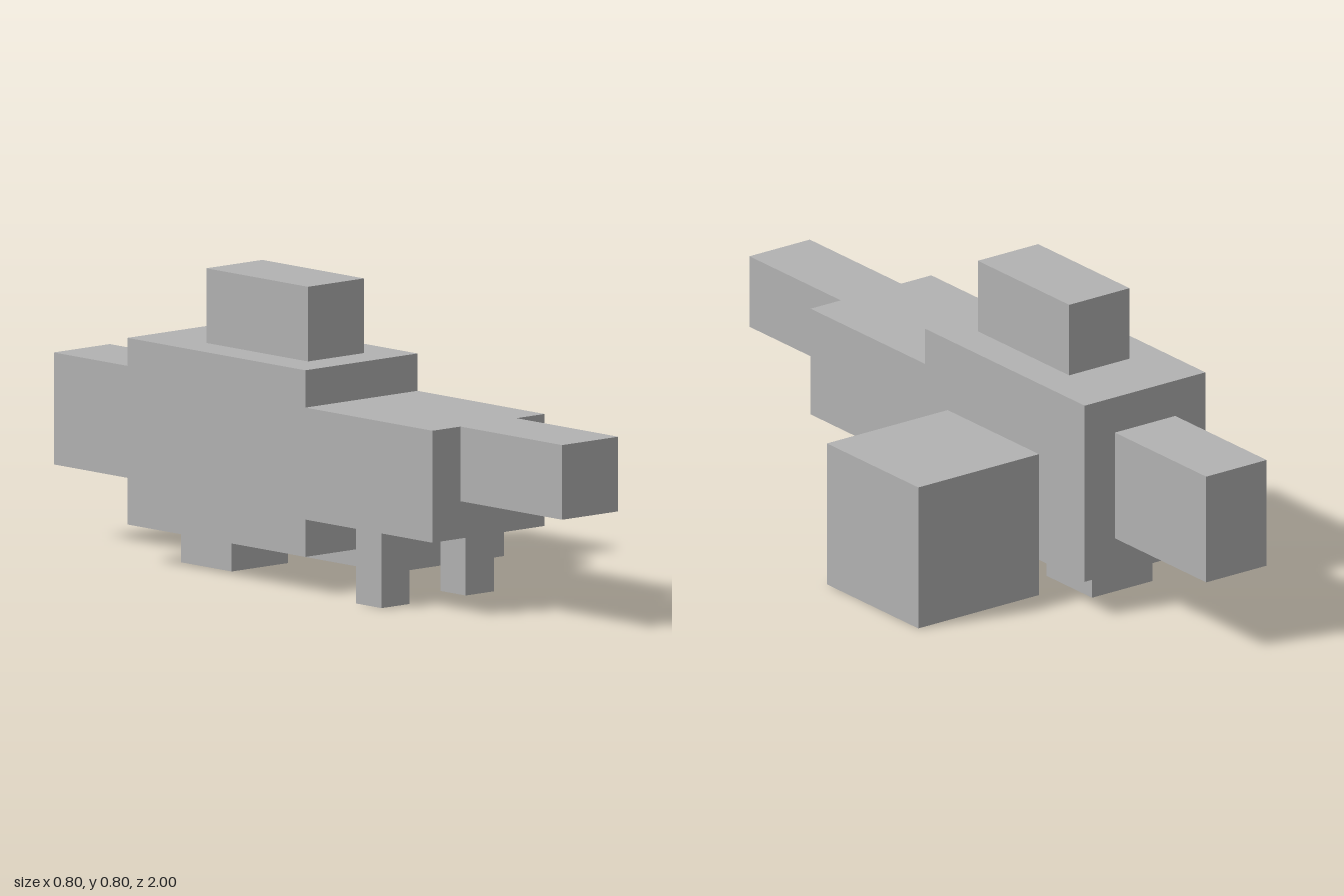
import * as THREE from 'three';

export function createModel() {
  const model = new THREE.Group();
  const grey = new THREE.MeshStandardMaterial({ color: 0xb2b2b2 });
  grey.name = 'plain grey';

  // Adds a box from its [min, max] extents along each axis
  function block(name, [x0, x1], [y0, y1], [z0, z1]) {
    const mesh = new THREE.Mesh(new THREE.BoxGeometry(x1 - x0, y1 - y0, z1 - z0), grey);
    mesh.position.set((x0 + x1) / 2, (y0 + y1) / 2, (z0 + z1) / 2);
    mesh.name = name;
    model.add(mesh);
  }

  const wide = [-0.4, 0];
  const narrow = [-0.3, -0.1];

  // Main hull, from nose to tail
  block('nose', narrow, [0.3, 0.5], [0.6, 1]);
  block('frontBody', wide, [0.2, 0.5], [0.1, 0.6]);
  block('mainBody', wide, [0.1, 0.6], [-0.6, 0.1]);
  block('tail', narrow, [0.2, 0.5], [-1, -0.6]);

  // Blocks on top and at the side
  block('topBlock', narrow, [0.6, 0.8], [-0.4, 0]);
  block('sideBlock', [0, 0.4], [0, 0.4], [-0.4, 0]);

  // Two front legs and one rear foot
  for (const [name, x] of [['rightFrontLeg', -0.4], ['leftFrontLeg', -0.1]]) {
    block(name, [x, x + 0.1], [0, 0.2], [0.3, 0.4]);
  }
  block('rearFoot', narrow, [0, 0.1], [-0.5, -0.3]);

  return model;
}
